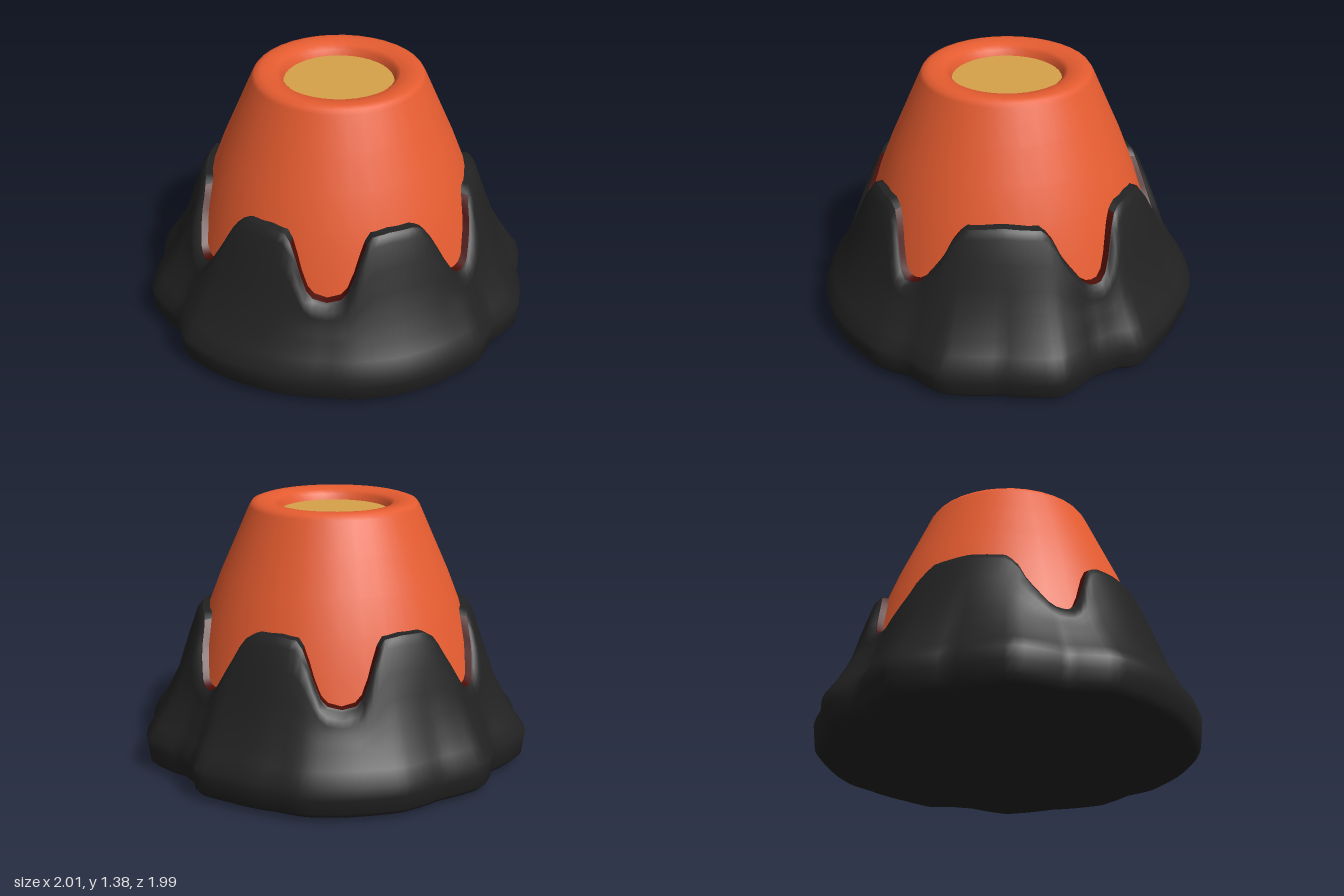
import * as THREE from 'three';

const N = 144; // columns around the cone

const mat = (name, color) => {
  const m = new THREE.MeshStandardMaterial({ color });
  m.name = name;
  return m;
};

// Piecewise linear lookup in [key, value] pairs
function lerpTable(t, x) {
  if (x <= t[0][0]) return t[0][1];
  for (let i = 1; i < t.length; i++) {
    const [x0, y0] = t[i - 1], [x1, y1] = t[i];
    if (x <= x1) return y0 + ((y1 - y0) * (x - x0)) / (x1 - x0);
  }
  return t[t.length - 1][1];
}

// Height of the rock's upper edge by degrees from the front; one quarter, mirrored
const EDGE = [[0, 0.505], [5, 0.52], [8, 0.56], [11, 0.66], [14, 0.76], [17, 0.815], [25, 0.825],
  [36, 0.82], [41, 0.785], [46, 0.65], [49, 0.55], [53, 0.495], [57, 0.5], [60, 0.53],
  [67, 0.66], [70, 0.75], [74, 0.815], [90, 0.835]];

// Irregular foot outline (x, z), running from the front towards +x
const FOOT = [[0.15, 0.985], [0.43, 0.91], [0.7, 0.72], [0.78, 0.64], [0.84, 0.49], [0.98, 0.31],
  [0.985, 0], [0.995, -0.3], [0.82, -0.47], [0.74, -0.6], [0.73, -0.7], [0.58, -0.8], [0.33, -0.93],
  [0.2, -0.99], [-0.15, -0.99], [-0.3, -0.96], [-0.5, -0.83], [-0.73, -0.7], [-0.8, -0.5],
  [-1, -0.29], [-0.99, 0], [-0.99, 0.32], [-0.82, 0.52], [-0.74, 0.72], [-0.4, 0.92], [-0.12, 0.98]];

const footTable = FOOT.map(([x, z]) => {
  const a = THREE.MathUtils.radToDeg(Math.atan2(x, z));
  return [(a + 360) % 360, Math.hypot(x, z)];
});
footTable.unshift([0, 0.983]);
footTable.push([360, 0.983]);

const edgeHeight = (deg) => {
  const d = deg % 180;
  return lerpTable(EDGE, d > 90 ? 180 - d : d);
};
const lavaRadius = (y) => lerpTable([[0.4, 0.79], [0.5, 0.765], [0.82, 0.67], [1.0, 0.6], [1.35, 0.445]], y);
const ROCK = [[0.008, 0.92], [0.02, 0.955], [0.05, 0.985], [0.18, 1], [0.25, 0.95], [0.42, 0.86], [0.6, 0.8], [0.8, 0.73]];

// Rock radius: round above, following the foot outline below
function rockRadius(deg, y) {
  const w = THREE.MathUtils.clamp((0.65 - y) / 0.45, 0, 1);
  return lerpTable(ROCK, y) * (1 + w * (lerpTable(footTable, deg) - 1));
}

// Ring surface: profile(deg) lists [radius, y] from bottom to top
function ringSurface(profile, keep = () => true) {
  const pos = [], idx = [];
  let rows = 0;
  for (let i = 0; i < N; i++) {
    const deg = (i * 360) / N, a = THREE.MathUtils.degToRad(deg);
    const p = profile(deg);
    rows = p.length;
    for (const [r, y] of p) pos.push(r * Math.sin(a), y, r * Math.cos(a));
  }
  for (let i = 0; i < N; i++) {
    if (!keep(((i + 0.5) * 360) / N)) continue;
    for (let j = 0; j < rows - 1; j++) {
      const a = i * rows + j, b = ((i + 1) % N) * rows + j;
      idx.push(a, b, b + 1, a, b + 1, a + 1);
    }
  }
  const g = new THREE.BufferGeometry();
  g.setAttribute('position', new THREE.Float32BufferAttribute(pos, 3));
  g.setIndex(idx);
  g.computeVertexNormals();
  return g;
}

export function createModel() {
  const rock = mat('charcoal rock', 0x222222);
  const lava = mat('orange lava', 0xe65c30);
  const scorch = mat('dark red edge', 0x4a0c06);
  const gold = mat('golden magma', 0xd6a24a);
  scorch.side = THREE.DoubleSide;

  const group = new THREE.Group();
  group.name = 'volcano';
  const add = (name, geometry, material) => {
    const m = new THREE.Mesh(geometry, material);
    m.name = name;
    group.add(m);
    return m;
  };

  // Rock skirt with a scalloped upper edge
  const rimRadius = (y) => lavaRadius(y) + 0.035;
  add('rockSkirt', ringSurface((deg) => {
    const top = edgeHeight(deg);
    const ys = [0.008, 0.02, 0.05, 0.12, 0.18, 0.25, 0.33];
    for (const t of [0.25, 0.5, 0.75, 1]) ys.push(0.33 + (top - 0.04 - 0.33) * t);
    const p = ys.map((y) => [rockRadius(deg, y), y]);
    p.push([rimRadius(top) + 0.01, top - 0.012], [rimRadius(top), top]);
    return p;
  }), rock);

  // Flat underside
  add('rockUnderside', ringSurface((deg) => [[0, 0], [rockRadius(deg, 0.008), 0.008]]), rock);

  // Lip between rock and lava: scorched around the drips, plain on the scallops
  const lip = (deg) => {
    const y = edgeHeight(deg);
    return [[rimRadius(y), y], [lavaRadius(y) - 0.02, y + 0.008]];
  };
  const atDrip = (deg) => edgeHeight(deg) < 0.8;
  add('scorchedLip', ringSurface(lip, atDrip), scorch);
  add('rockLip', ringSurface(lip, (deg) => !atDrip(deg)), rock);

  // Lava cone with rounded rim and inner crater wall
  const cone = [[0.79, 0.4], [0.765, 0.5], [0.72, 0.66], [0.67, 0.82], [0.6, 1], [0.52, 1.18], [0.445, 1.35],
    [0.43, 1.372], [0.4, 1.382], [0.36, 1.38], [0.315, 1.37], [0.29, 1.35], [0.275, 1.29]];
  add('lavaCone', new THREE.LatheGeometry(cone.map(([r, y]) => new THREE.Vector2(r, y)), 36), lava);

  // Magma pool inside the crater
  const pool = add('magmaPool', new THREE.CircleGeometry(0.29, 24), gold);
  pool.rotation.x = -Math.PI / 2;
  pool.position.y = 1.32;

  return group;
}
